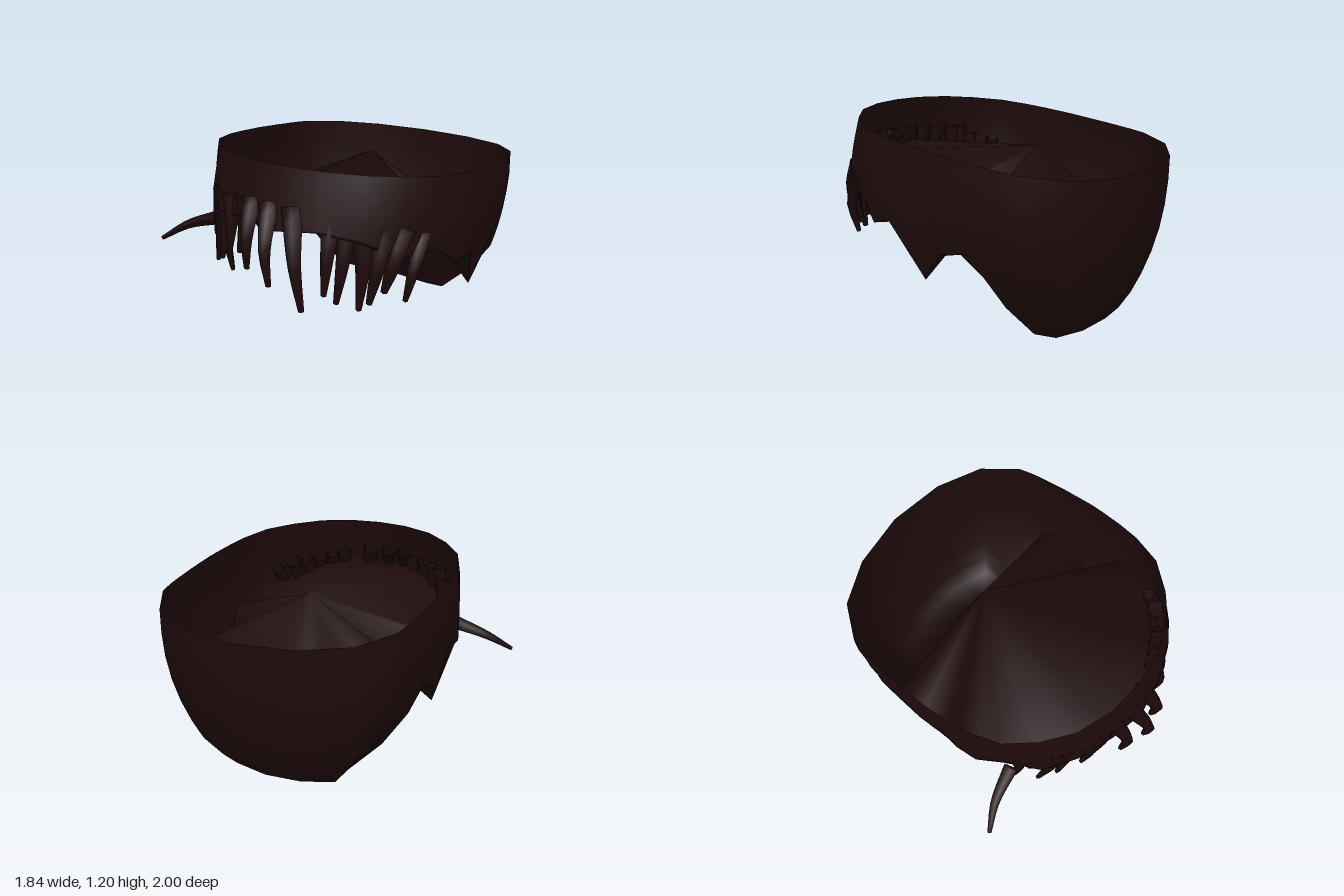
import * as THREE from 'three';

const CX = 0.12; // mirror plane of the hair
const LEVELS = [0, 0.15, 0.3, 0.45, 0.6, 0.75, 0.87, 0.96, 1];
const ROWS = LEVELS.length - 1;

// Half outline, front to back: rim x, rim z, edge x, edge y, edge z
const HALF = [
  [0, 0.79, 0, 0.88, 0.89],
  [0.2, 0.77, 0.22, 0.90, 0.85],
  [0.4, 0.70, 0.43, 0.86, 0.77],
  [0.56, 0.58, 0.59, 0.76, 0.65],
  [0.69, 0.43, 0.70, 0.76, 0.45],
  [0.75, 0.25, 0.77, 0.64, 0.30],
  [0.77, 0.12, 0.79, 0.67, 0.17],
  [0.78, 0.0, 0.73, 0.36, -0.02],
  [0.785, -0.1, 0.77, 0.53, -0.15],
  [0.78, -0.28, 0.76, 0.56, -0.28],
  [0.77, -0.42, 0.73, 0.45, -0.40],
  [0.76, -0.52, 0.60, 0.25, -0.45],
  [0.74, -0.62, 0.39, 0.03, -0.50],
  [0.6, -0.82, 0.27, 0.01, -0.53],
  [0.34, -0.95, 0.14, 0.0, -0.56],
  [0, -1, 0, 0.0, -0.58],
];
const COLUMNS = [
  ...HALF,
  ...HALF.slice(1, -1).reverse().map(([rx, rz, ex, ey, ez]) => [-rx, rz, -ex, ey, ez]),
];

// How far a column has moved from rim to edge; the nape tucks under at the end
function profile(rz, t) {
  if (rz > 0.3) return t;
  if (rz > -0.8) return Math.pow(t, 2.3);
  return 0.58 * Math.pow(t, 2.3) + 0.42 * Math.pow(t, 40);
}

// Point on the hair band: t = 0 at the rim, 1 at the lower edge
function bandPoint([rx, rz, ex, ey, ez], t) {
  const s = profile(rz, t);
  const bulge = 1 + 0.03 * Math.sin(Math.PI * t);
  return [
    CX + THREE.MathUtils.lerp(rx, ex, s) * bulge,
    THREE.MathUtils.lerp(1.092 + 0.137 * rz, ey, t),
    THREE.MathUtils.lerp(rz, ez, s),
  ];
}

// Outer band, closed by a fan from its lower edge up to a point inside
function shellGeometry() {
  const n = COLUMNS.length, positions = [], index = [];
  for (const t of LEVELS) {
    for (const c of COLUMNS) positions.push(...bandPoint(c, t));
  }
  const apex = positions.length / 3;
  positions.push(0.09, 1.0, -0.25);
  for (let j = 0; j < n; j++) {
    const k = (j + 1) % n;
    for (let i = 0; i < ROWS; i++) {
      const a = i * n + j, b = i * n + k, c = a + n, d = b + n;
      index.push(a, c, b, b, c, d);
    }
    index.push(ROWS * n + j, apex, ROWS * n + k);
  }
  const g = new THREE.BufferGeometry();
  g.setAttribute('position', new THREE.Float32BufferAttribute(positions, 3));
  g.setIndex(index);
  g.computeVertexNormals();
  return g;
}

// Tapered strand through a few points
function lockGeometry(points, radius) {
  const curve = new THREE.CatmullRomCurve3(points.map((p) => new THREE.Vector3(...p)));
  const steps = 7, sides = 5;
  const g = new THREE.TubeGeometry(curve, steps, radius, sides);
  const pos = g.attributes.position, v = new THREE.Vector3();
  for (let i = 0; i <= steps; i++) {
    const centre = curve.getPointAt(i / steps);
    const size = 1 - 0.72 * (i / steps);
    for (let j = 0; j <= sides; j++) {
      const k = i * (sides + 1) + j;
      v.fromBufferAttribute(pos, k).sub(centre).multiplyScalar(size).add(centre);
      pos.setXYZ(k, v.x, v.y, v.z);
    }
  }
  g.computeVertexNormals();
  return g;
}

// Fringe locks: root x, y, z, then tip x, y, z, then radius
const LOCKS = [
  [-0.53, 0.88, 0.48, -0.56, 0.58, 0.52, 0.05],
  [-0.43, 0.92, 0.61, -0.44, 0.38, 0.54, 0.05],
  [-0.38, 0.98, 0.66, -0.47, 0.48, 0.63, 0.05],
  [-0.33, 0.98, 0.69, -0.38, 0.54, 0.70, 0.055],
  [-0.24, 0.98, 0.75, -0.26, 0.64, 0.78, 0.055],
  [-0.13, 1.0, 0.79, -0.18, 0.66, 0.80, 0.05],
  [-0.06, 1.0, 0.81, -0.05, 0.64, 0.91, 0.055],
  [0.06, 1.0, 0.83, 0.12, 0.60, 0.96, 0.055],
  [0.19, 1.0, 0.82, 0.29, 0.48, 0.92, 0.06],
  [0.38, 0.96, 0.76, 0.37, 0.55, 0.83, 0.055],
  [0.46, 0.94, 0.73, 0.42, 0.50, 0.79, 0.055],
  [0.53, 0.92, 0.70, 0.52, 0.46, 0.73, 0.06],
  [0.62, 0.90, 0.64, 0.57, 0.50, 0.71, 0.06],
  [0.69, 0.90, 0.58, 0.63, 0.56, 0.66, 0.065],
  [0.76, 0.86, 0.49, 0.72, 0.50, 0.59, 0.05],
];

export function createModel() {
  const model = new THREE.Group();
  model.name = 'hair';
  const hair = new THREE.MeshStandardMaterial({ color: 0x1e0a0b });
  hair.name = 'darkBrownHair';
  hair.side = THREE.DoubleSide;

  const add = (name, geometry, parent = model) => {
    const mesh = new THREE.Mesh(geometry, hair);
    mesh.name = name;
    parent.add(mesh);
  };

  add('hairShell', shellGeometry());

  const fringe = new THREE.Group();
  fringe.name = 'fringe';
  model.add(fringe);
  for (const [rx, ry, rz, tx, ty, tz, r] of LOCKS) {
    // Each lock swells outward before curling back to its tip
    const bend = [(rx + tx) / 2 + 0.02, (ry + ty) / 2, Math.max(rz, tz) + 0.005];
    add('fringeLock', lockGeometry([[rx, ry, rz], bend, [tx, ty, tz]], r), fringe);
  }

  // Stray lock sticking out at the right temple
  add('strayLock', lockGeometry([[-0.56, 0.68, 0.49], [-0.76, 0.61, 0.54], [-0.91, 0.515, 0.62]], 0.045));
  return model;
}
